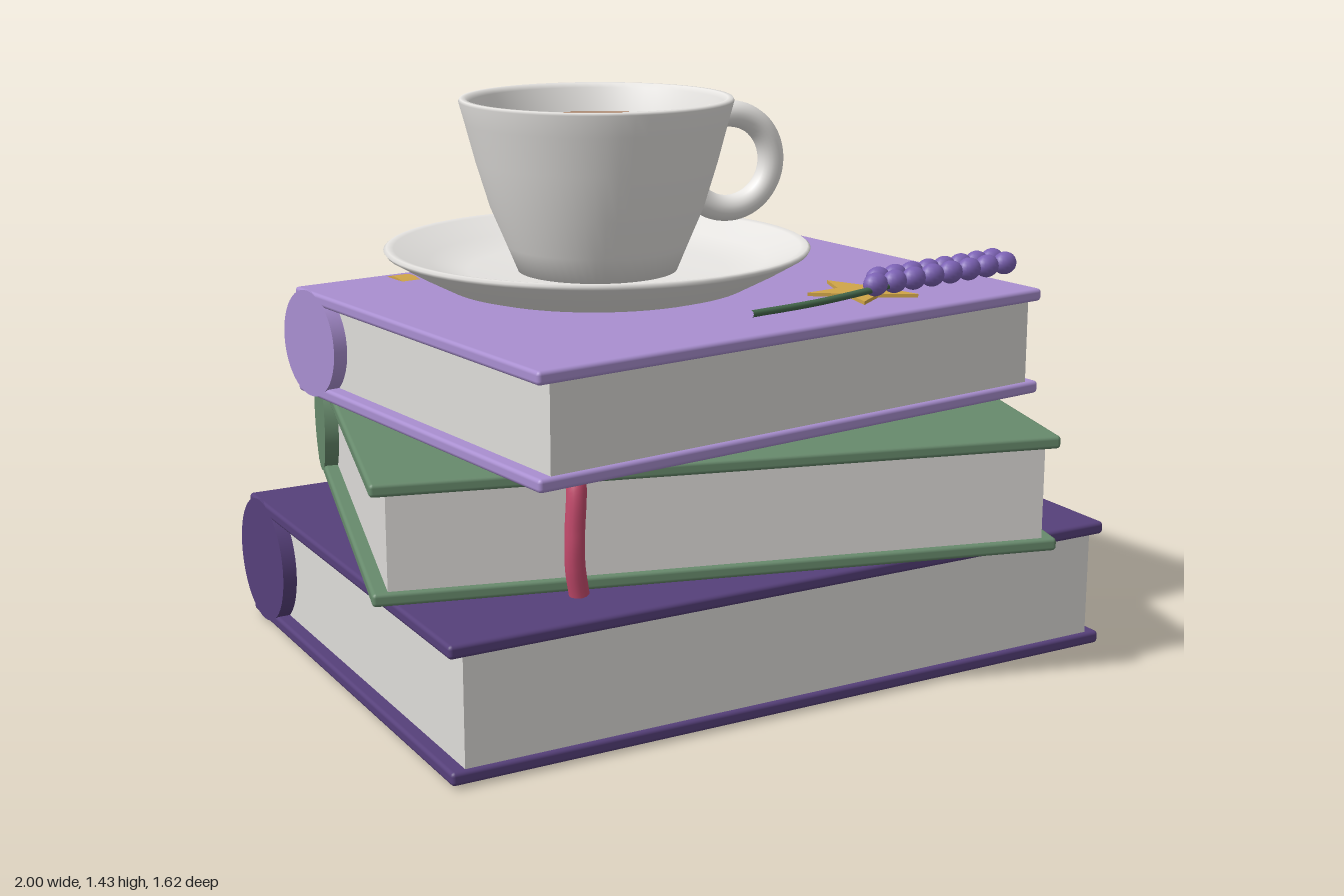
import * as THREE from 'three';
import { RoundedBoxGeometry } from 'three/addons/geometries/RoundedBoxGeometry.js';

const V = (x, y, z) => new THREE.Vector3(x, y, z);

function colour(name, hex, side = THREE.FrontSide) {
  const m = new THREE.MeshStandardMaterial({ color: hex, side });
  m.name = name;
  return m;
}

function add(parent, name, geometry, material, x = 0, y = 0, z = 0) {
  const mesh = new THREE.Mesh(geometry, material);
  mesh.name = name;
  mesh.position.set(x, y, z);
  parent.add(mesh);
  return mesh;
}

// Lathe from a list of [radius, y] pairs, ordered from the bottom upwards on the outside
function lathe(points) {
  return new THREE.LatheGeometry(points.map(([r, y]) => new THREE.Vector2(r, y)), 64);
}

// Book with a round spine at the back, two covers, a page block and two bands
function makeBook(name, { width, depth, y0, y1, turn }, cover, pages, gold) {
  const book = new THREE.Group();
  book.name = name;
  book.rotation.y = turn;
  const r = (y1 - y0) / 2, yc = (y0 + y1) / 2, t = 0.033;
  const front = depth / 2, spineZ = -front + r;
  const coverBack = spineZ - r / 2, coverDepth = front - coverBack;

  for (const [part, y] of [['bottomCover', y0 + t / 2], ['topCover', y1 - t / 2]]) {
    add(book, part, new RoundedBoxGeometry(width, t, coverDepth, 2, 0.01),
      cover, 0, y, (front + coverBack) / 2);
  }
  const pageDepth = front - 0.012 - spineZ;
  add(book, 'pages', new THREE.BoxGeometry(width - 0.075, y1 - y0 - 2 * t + 0.004, pageDepth),
    pages, 0, yc, spineZ + pageDepth / 2);
  add(book, 'spine', new THREE.CylinderGeometry(r, r, width, 48).rotateZ(Math.PI / 2),
    cover, 0, yc, spineZ);
  for (const side of [-1, 1]) {
    const rb = r * 1.045;
    add(book, 'spineBand', new THREE.CylinderGeometry(rb, rb, 0.053, 48).rotateZ(Math.PI / 2),
      gold, side * width * 0.317, yc, spineZ);
  }
  return book;
}

function makeCup(china, coffee) {
  const cup = new THREE.Group();
  cup.name = 'cupAndSaucer';
  cup.position.set(-0.145, 0, -0.073);

  add(cup, 'saucer', lathe([
    [0, 0.942], [0.36, 0.942], [0.4, 0.953], [0.48, 0.995], [0.55, 1.036], [0.556, 1.045],
    [0.548, 1.051], [0.53, 1.048], [0.44, 1.012], [0.34, 0.985], [0, 0.98],
  ]), china);
  add(cup, 'cupBody', lathe([
    [0, 0.975], [0.205, 0.975], [0.236, 1.05], [0.278, 1.15], [0.314, 1.27], [0.34, 1.37],
    [0.355, 1.425], [0.351, 1.432], [0.338, 1.432], [0.328, 1.42], [0.308, 1.35],
    [0.27, 1.22], [0.2, 1.05], [0, 1.03],
  ]), china);
  add(cup, 'coffee', new THREE.CylinderGeometry(0.31, 0.305, 0.01, 64), coffee, 0, 1.352, 0);

  // Handle: open ring with rounded ends set into the wall
  const R = 0.126, tube = 0.035, from = -2.27, to = 2.12;
  const handle = new THREE.Group();
  handle.name = 'cupHandle';
  handle.position.set(0.373, 1.245, 0);
  cup.add(handle);
  add(handle, 'handleRing', new THREE.TorusGeometry(R, tube, 20, 48, to - from).rotateZ(from), china);
  for (const a of [from, to]) {
    add(handle, 'handleEnd', new THREE.SphereGeometry(tube, 20, 14), china,
      R * Math.cos(a), R * Math.sin(a), 0);
  }
  return cup;
}

// Flower sprig: thin stem and two rows of buds
function makeSprig(stem, petal) {
  const sprig = new THREE.Group();
  sprig.name = 'flowerSprig';
  const path = new THREE.CatmullRomCurve3([
    V(0, 0.975, 0.562), V(0.18, 0.982, 0.538), V(0.36, 0.995, 0.505), V(0.6, 1.008, 0.43), V(0.82, 1.01, 0.372),
  ]);
  add(sprig, 'stem', new THREE.TubeGeometry(path, 32, 0.009, 8), stem);
  add(sprig, 'stemTip', new THREE.SphereGeometry(0.02, 12, 8), stem, 0.815, 1.01, 0.374);
  const rows = [
    [V(0.37, 1.005, 0.495), V(0.8, 1.01, 0.4)],
    [V(0.4, 1.01, 0.452), V(0.79, 1.012, 0.354)],
  ];
  for (const [start, end] of rows) {
    for (let i = 0; i < 8; i++) {
      const p = start.clone().lerp(end, i / 7);
      const bud = add(sprig, 'bud', new THREE.SphereGeometry(0.031, 16, 12), petal, p.x, p.y, p.z);
      bud.scale.set(1.12, 0.95, 0.85);
      bud.rotation.y = 0.23;
    }
  }
  return sprig;
}

function makeStar(gold) {
  const shape = new THREE.Shape();
  for (let i = 0; i < 10; i++) {
    const a = THREE.MathUtils.degToRad(28 + i * 36);
    const r = i % 2 ? 0.066 : 0.148;
    shape[i ? 'lineTo' : 'moveTo'](r * Math.cos(a), r * Math.sin(a));
  }
  shape.closePath();
  return new THREE.ExtrudeGeometry(shape, { depth: 0.009, bevelEnabled: false }).rotateX(-Math.PI / 2);
}

export function createModel() {
  const darkPurple = colour('dark purple', 0x56407a);
  const green = colour('sage green', 0x678a6c);
  const lilac = colour('lilac', 0xa98fd0);
  const paper = colour('paper', 0xdedcd9);
  const china = colour('white china', 0xefedea, THREE.DoubleSide);
  const coffee = colour('coffee', 0x8f5229);
  const gold = colour('gold', 0xd0a548);
  const pink = colour('ribbon pink', 0xc44a6c);
  const petal = colour('lavender', 0x7c62b4);
  const stem = colour('stem green', 0x45684c);

  const model = new THREE.Group();
  model.name = 'bookStackWithCup';

  model.add(
    makeBook('bottomBook', { width: 1.86, depth: 1.425, y0: 0.01, y1: 0.345, turn: 0.108 }, darkPurple, paper, gold),
    makeBook('middleBook', { width: 1.7, depth: 1.335, y0: 0.355, y1: 0.651, turn: -0.154 }, green, paper, gold),
    makeBook('topBook', { width: 1.56, depth: 1.24, y0: 0.66, y1: 0.94, turn: 0.227 }, lilac, paper, gold),
    makeCup(china, coffee),
    makeSprig(stem, petal),
  );

  add(model, 'star', makeStar(gold), gold, 0.44, 0.94, 0.298);

  // Ribbon hanging over the front of the middle book
  const ribbon = new THREE.CatmullRomCurve3([
    V(-0.462, 0.632, 0.54), V(-0.465, 0.622, 0.595), V(-0.475, 0.5, 0.612), V(-0.474, 0.42, 0.61), V(-0.462, 0.348, 0.603),
  ]);
  add(model, 'bookmarkRibbon', new THREE.TubeGeometry(ribbon, 32, 0.025, 12), pink);

  return model;
}
